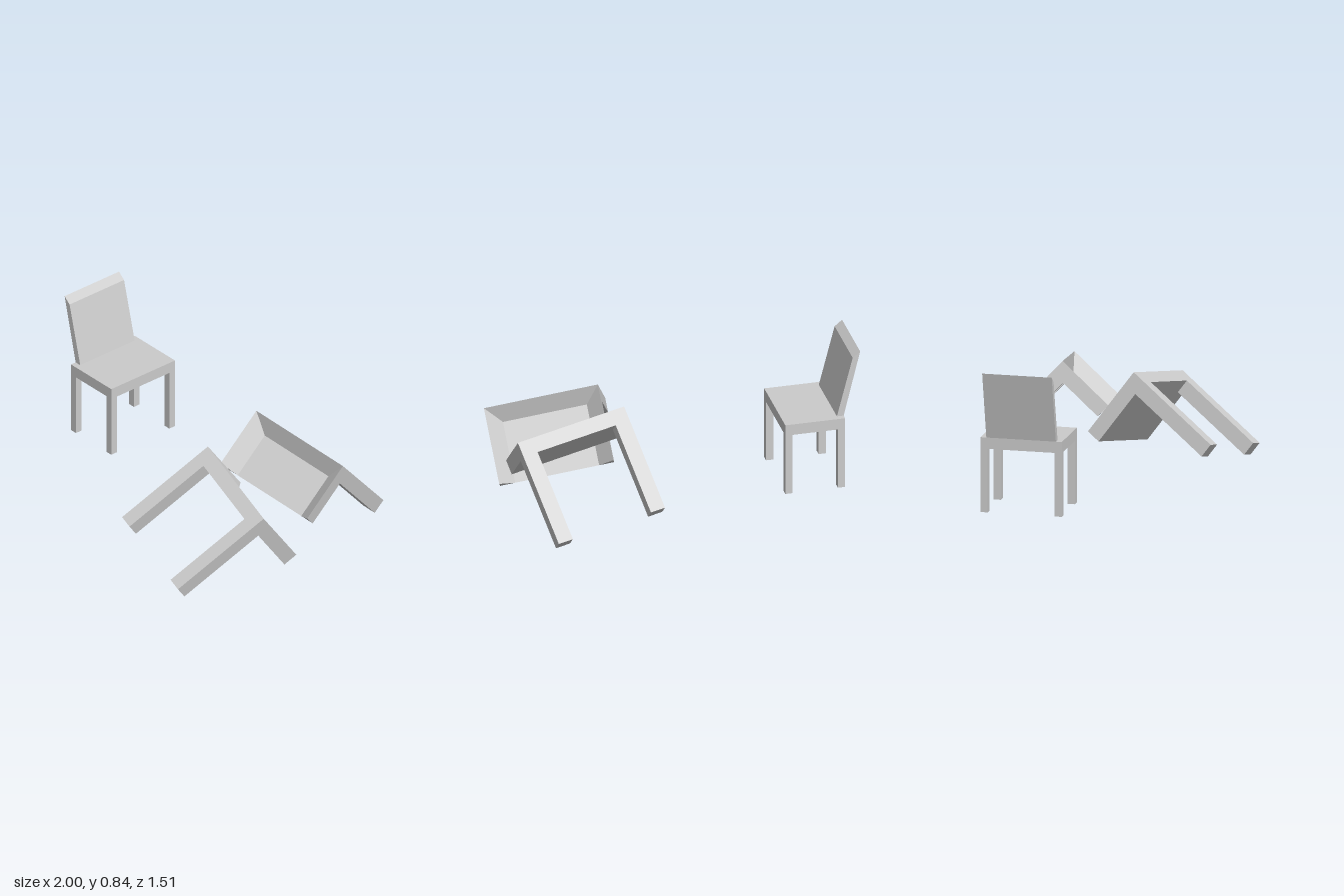
import * as THREE from 'three';

const material = new THREE.MeshStandardMaterial({ color: 0xcccccc, flatShading: true, side: THREE.DoubleSide });

function addMesh(parent, name, geometry) {
  const mesh = new THREE.Mesh(geometry, material);
  mesh.name = name;
  parent.add(mesh);
  return mesh;
}

// Box given by its lower and upper corners
function addBox(parent, name, [x0, y0, z0], [x1, y1, z1]) {
  const mesh = addMesh(parent, name, new THREE.BoxGeometry(x1 - x0, y1 - y0, z1 - z0));
  mesh.position.set((x0 + x1) / 2, (y0 + y1) / 2, (z0 + z1) / 2);
}

function createChair() {
  const chair = new THREE.Group();
  chair.name = 'chair';
  const x0 = -0.905, x1 = -0.56, z0 = -0.42, z1 = 0.048, leg = 0.042;
  addBox(chair, 'seat', [x0, 0.385, z0], [x1, 0.45, z1]);
  for (const x of [x0, x1 - leg])
    for (const z of [z0, z1 - leg])
      addBox(chair, 'chairLeg', [x, 0.02, z], [x + leg, 0.385, z + leg]);

  // Leaning backrest with a slanted top edge
  const profile = new THREE.Shape([[-0.905, 0.45], [-0.866, 0.45], [-0.957, 0.805], [-1, 0.84]]
    .map(([x, y]) => new THREE.Vector2(x, y)));
  const back = addMesh(chair, 'backrest', new THREE.ExtrudeGeometry(profile, { depth: 0.4, bevelEnabled: false }));
  back.position.z = -0.386;
  return chair;
}

// Triangular rail running around three sides, mitred at the corners, open at the break
function railGeometry(halfWidth, length, rail) {
  const inner = halfWidth - rail;
  const stations = [[-halfWidth, length, -inner, length], [-halfWidth, 0, -inner, rail],
    [halfWidth, 0, inner, rail], [halfWidth, length, inner, length]];
  const positions = [], index = [];
  for (const [ox, oz, ix, iz] of stations)
    positions.push(ox, 0, oz, ox, -rail, oz, ix, -rail, iz);
  for (let i = 0; i < 3; i++)
    for (let j = 0; j < 3; j++) {
      const p = i * 3 + j, q = i * 3 + (j + 1) % 3;
      index.push(p, p + 3, q + 3, p, q + 3, q);
    }
  index.push(0, 1, 2, 11, 10, 9);
  const geometry = new THREE.BufferGeometry();
  geometry.setAttribute('position', new THREE.Float32BufferAttribute(positions, 3));
  geometry.setIndex(index);
  const flat = geometry.toNonIndexed();
  flat.computeVertexNormals();
  return flat;
}

// One half of the broken table; the end edge lies on local x, the break is at +z
function createTableHalf(name, length, centre, along, up) {
  const half = new THREE.Group();
  half.name = name;
  const hw = 0.325, rail = 0.086, legLength = 0.62;
  addMesh(half, 'tableRim', railGeometry(hw, length, rail));

  // Thin sunken panel
  const panel = addMesh(half, 'tablePanel', new THREE.PlaneGeometry(2 * (hw - rail), length - rail));
  panel.rotation.x = -Math.PI / 2;
  panel.position.set(0, -rail, (length + rail) / 2);

  for (const x of [-hw, hw - rail])
    addBox(half, 'tableLeg', [x, -legLength, 0], [x + rail, -rail, rail]);

  // Tilt the half as it has fallen
  const ax = new THREE.Vector3(...along).normalize();
  const az = ax.clone().cross(new THREE.Vector3(...up)).normalize();
  const ay = az.clone().cross(ax);
  half.quaternion.setFromRotationMatrix(new THREE.Matrix4().makeBasis(ax, ay, az));
  half.position.set(...centre);
  return half;
}

export function createModel() {
  const model = new THREE.Group();
  model.name = 'chairAndBrokenTable';
  model.add(createChair());
  model.add(createTableHalf('frontTableHalf', 0.435, [0.687, 0.485, 0.202], [-0.96, 0.2, -0.192], [0.279, 0.558, -0.78]));
  model.add(createTableHalf('backTableHalf', 0.355, [0.645, 0.552, -0.303], [0.978, -0.155, -0.14], [0.209, 0.7235, 0.659]));
  return model;
}
